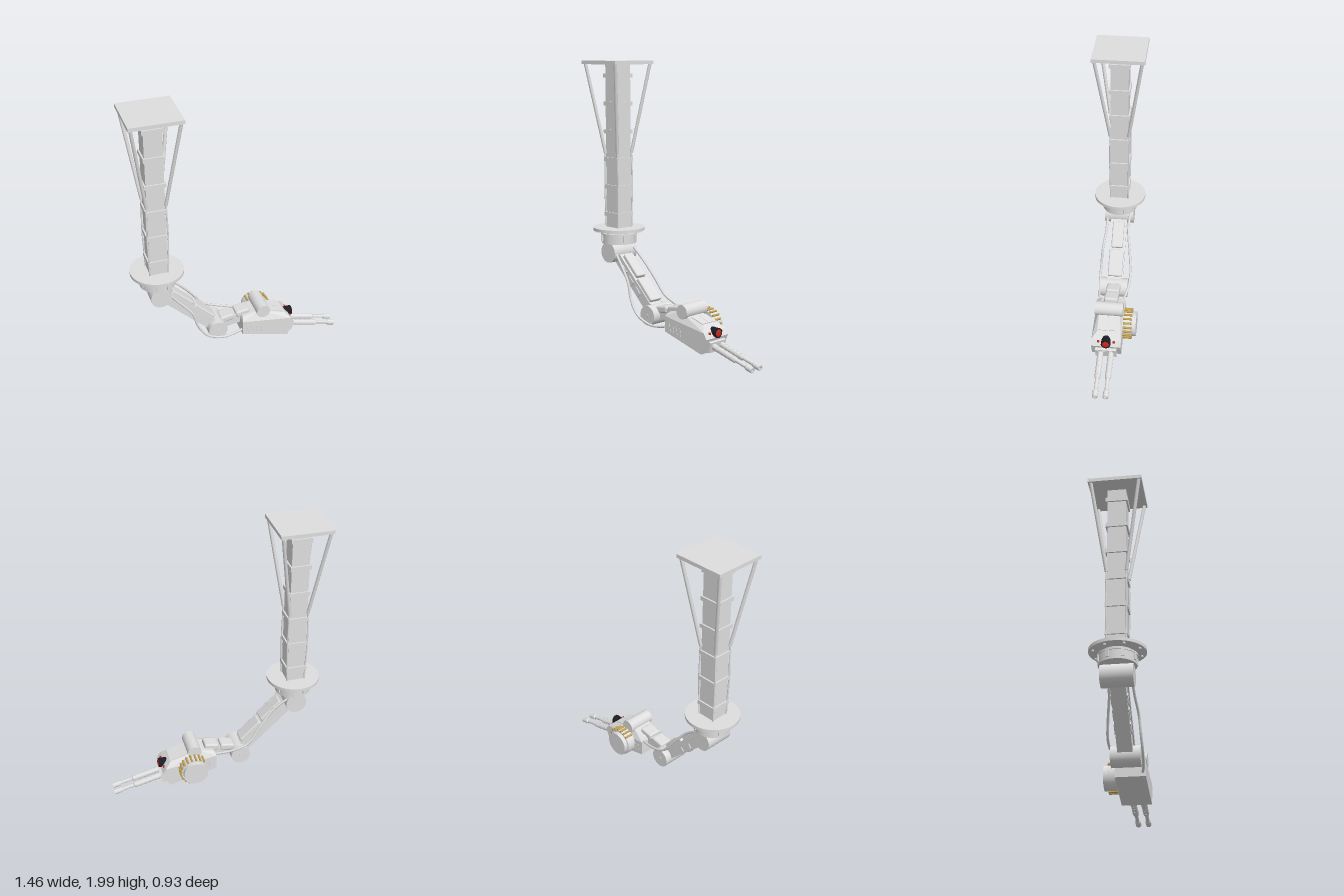
import * as THREE from 'three';
import { ConvexGeometry } from 'three/addons/geometries/ConvexGeometry.js';
import { RoundedBoxGeometry } from 'three/addons/geometries/RoundedBoxGeometry.js';

const material = (name, color) => {
  const m = new THREE.MeshStandardMaterial({ color });
  m.name = name;
  return m;
};

export function createModel() {
  const grey = material('light grey metal', 0xdedede);
  const black = material('black housing', 0x1c1c22);
  const red = material('red lens', 0xc8281c);
  const brass = material('brass', 0xc0a050);

  // Local frame: x runs along the arm, z across it.
  const model = new THREE.Group();
  model.name = 'ceilingTurret';
  model.position.set(-0.485, 0, -0.217);
  model.rotation.y = THREE.MathUtils.degToRad(-28);

  const add = (name, geometry, mat, x, y, z, parent = model) => {
    const mesh = new THREE.Mesh(geometry, mat);
    mesh.name = name;
    mesh.position.set(x, y, z);
    parent.add(mesh);
    return mesh;
  };
  const box = (name, l, h, w, x, y, z, parent = model) =>
    add(name, new THREE.BoxGeometry(l, h, w), grey, x, y, z, parent);
  const disc = (name, r, h, x, y, z, mat = grey) =>
    add(name, new THREE.CylinderGeometry(r, r, h, 32), mat, x, y, z);
  const drum = (name, r, w, x, y, z, mat = grey) => {
    const mesh = disc(name, r, w, x, y, z, mat);
    mesh.rotation.x = Math.PI / 2;
    return mesh;
  };
  const tube = (name, points, r) =>
    add(name, new THREE.TubeGeometry(
      new THREE.CatmullRomCurve3(points.map(p => new THREE.Vector3(...p))), 40, r, 8), grey, 0, 0, 0);
  // Group whose x axis runs from one joint towards another
  const link = (name, x1, y1, x2, y2) => {
    const g = new THREE.Group();
    g.name = name;
    g.position.set(x1, y1, 0);
    g.rotation.z = Math.atan2(y2 - y1, x2 - x1);
    model.add(g);
    return g;
  };

  // Mounting plate, column and bands
  box('mountingPlate', 0.364, 0.025, 0.364, 0, 1.9875, 0);
  box('column', 0.126, 1.18, 0.126, 0, 1.387, 0);
  for (let i = 0; i < 6; i++) box('columnBand', 0.148, 0.03, 0.148, 0, 0.895 + i * 0.2, 0);

  // Corner struts with conduits continuing down the column
  for (const sx of [-1, 1]) for (const sz of [-1, 1]) {
    const a = new THREE.Vector3(sx * 0.163, 1.98, sz * 0.163);
    const b = new THREE.Vector3(sx * 0.066, 1.34, sz * 0.066);
    const strut = add('strut', new THREE.CylinderGeometry(0.012, 0.012, a.distanceTo(b), 10), grey, 0, 0, 0);
    strut.position.copy(a).add(b).multiplyScalar(0.5);
    strut.quaternion.setFromUnitVectors(new THREE.Vector3(0, 1, 0), a.clone().sub(b).normalize());
    tube('columnConduit', [[sx * 0.066, 1.36, sz * 0.066], [sx * 0.072, 1.1, sz * 0.068],
      [sx * 0.068, 0.95, sz * 0.066], [sx * 0.064, 0.79, sz * 0.064]], 0.006);
  }

  // Swivel flange and ribbed collar
  disc('flange', 0.188, 0.022, 0, 0.789, 0);
  disc('neck', 0.105, 0.04, 0, 0.765, 0);
  disc('collar', 0.126, 0.075, 0, 0.722, 0);
  disc('collarRim', 0.132, 0.012, 0, 0.753, 0);
  for (let i = 0; i < 8; i++) {
    const a = (i + 0.5) * Math.PI / 4, c = Math.cos(a), s = Math.sin(a);
    box('collarRib', 0.014, 0.05, 0.022, c * 0.126, 0.725, s * 0.126).rotation.y = -a;
    disc('flangeBolt', 0.009, 0.012, c * 0.162, 0.773, s * 0.162);
  }

  // Shoulder and elbow joints
  drum('shoulder', 0.075, 0.214, 0, 0.62, 0);
  drum('elbow', 0.07, 0.2, 0.41, 0.225, 0);
  for (const s of [-1, 1]) drum('elbowPin', 0.012, 0.006, 0.41, 0.225, s * 0.101);

  // Upper arm with stepped covers
  const upper = link('upperArm', 0, 0.62, 0.41, 0.225);
  box('upperArmBeam', 0.52, 0.085, 0.1, 0.28, 0, 0, upper);
  add('upperCover', new RoundedBoxGeometry(0.2, 0.05, 0.085, 2, 0.01), grey, 0.18, 0.045, 0, upper);
  add('lowerCover', new RoundedBoxGeometry(0.2, 0.05, 0.105, 2, 0.01), grey, 0.395, 0.045, 0, upper);
  for (const s of [-1, 1]) {
    box('sideRail', 0.46, 0.02, 0.014, 0.28, 0.034, s * 0.053, upper);
    for (const x of [0.16, 0.26, 0.36]) box('sidePanel', 0.07, 0.035, 0.008, x, -0.01, s * 0.052, upper);
  }

  // Forearm with two rounded pads
  const fore = link('forearm', 0.41, 0.225, 0.64, 0.265);
  box('forearmBeam', 0.24, 0.075, 0.085, 0.12, 0, 0, fore);
  for (const x of [0.095, 0.215])
    add('forearmPad', new RoundedBoxGeometry(0.105, 0.05, 0.1, 2, 0.014), grey, x, 0.035, 0, fore);

  // Hoses: one hangs below the elbow, the other passes above it
  tube('lowerHose', [[0.02, 0.67, 0.085], [0.12, 0.55, 0.09], [0.22, 0.43, 0.108], [0.255, 0.32, 0.115],
    [0.325, 0.22, 0.118], [0.46, 0.165, 0.105], [0.62, 0.185, 0.08]], 0.009);
  tube('upperHose', [[0.02, 0.68, -0.085], [0.16, 0.58, -0.078], [0.27, 0.45, -0.1], [0.36, 0.335, -0.115],
    [0.47, 0.29, -0.11], [0.62, 0.26, -0.08]], 0.009);

  // Chamfered gun housing: [along, height, half width]
  const shell = [[0.595, 0.15, 0.105], [0.945, 0.06, 0.105], [0.995, 0.17, 0.105], [0.97, 0.21, 0.105],
    [0.595, 0.26, 0.105], [0.605, 0.285, 0.07], [0.72, 0.31, 0.07], [0.93, 0.25, 0.07]];
  add('gunHousing', new ConvexGeometry(shell.flatMap(([x, y, w]) =>
    [new THREE.Vector3(x, y, w), new THREE.Vector3(x, y, -w)])), grey, 0, 0, 0);
  for (const s of [-1, 1]) {
    box('hoodPlate', 0.105, 0.008, 0.066, 0.868, 0.269, s * 0.034).rotation.z = -0.28;
    for (let i = 0; i < 4; i++)
      box('vent', 0.015, 0.06, 0.004, 0.64 + i * 0.034, 0.19 - i * 0.006, s * 0.106).rotation.z = 0.15;
  }
  drum('topRoller', 0.05, 0.2, 0.755, 0.315, 0);

  // Side magazine with cartridges along its forward rim
  drum('magazineCore', 0.099, 0.065, 0.77, 0.2, -0.135);
  drum('magazineCap', 0.088, 0.035, 0.77, 0.2, -0.18);
  for (let i = 0; i < 14; i++) {
    const a = -1.75 + i * 0.31;
    drum('cartridge', 0.0075, 0.062, 0.77 + Math.cos(a) * 0.103, 0.2 + Math.sin(a) * 0.103, -0.138, brass);
  }

  // Optical sensor and indicator lamps
  disc('sensorHousing', 0.034, 0.06, 0.977, 0.2, 0, black).rotation.z = Math.PI / 2;
  add('sensorLens', new THREE.SphereGeometry(0.026, 24, 16), red, 1.006, 0.2, 0).scale.x = 0.3;
  for (const s of [-1, 1])
    add('indicatorLamp', new THREE.SphereGeometry(0.01, 12, 8), red, 0.976, 0.2, s * 0.055);

  // Twin barrels, pitched slightly down
  const guns = link('twinGuns', 0.97, 0.12, 1.345, 0.027);
  box('gunMount', 0.06, 0.075, 0.15, 0, -0.005, 0, guns);
  box('mountFace', 0.004, 0.055, 0.125, 0.03, -0.005, 0, guns);
  const barrelProfile = [[0, 0], [0.021, 0], [0.021, 0.23], [0.013, 0.238], [0.013, 0.325], [0.02, 0.335],
    [0.02, 0.386], [0.01, 0.386], [0.01, 0.37], [0, 0.37]].map(p => new THREE.Vector2(...p));
  for (const s of [-1, 1]) {
    const barrel = new THREE.Group();
    barrel.name = 'barrel';
    barrel.position.z = s * 0.037;
    guns.add(barrel);
    const body = new THREE.LatheGeometry(barrelProfile, 20).toNonIndexed();
    body.computeVertexNormals();
    add('barrelBody', body, grey, 0, 0, 0, barrel).rotation.z = -Math.PI / 2;
    for (let i = 0; i < 5; i++) {
      const x = 0.07 + i * 0.034;
      box('coolingRibSide', 0.018, 0.009, 0.044, x, 0, 0, barrel);
      box('coolingRibTop', 0.018, 0.044, 0.009, x, 0, 0, barrel);
    }
  }
  return model;
}
